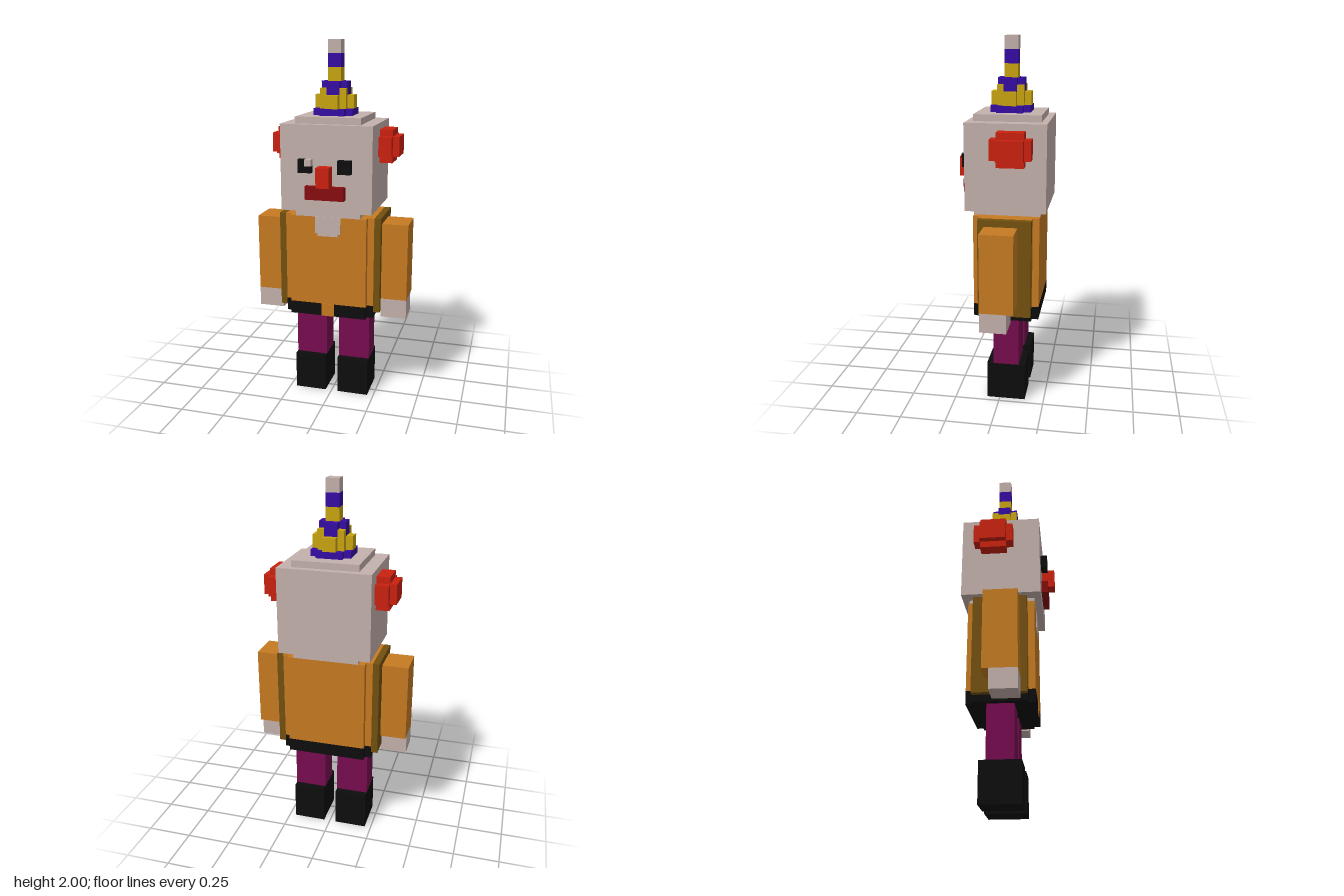
import * as THREE from 'three';

export function createModel() {
  const U = 1 / 28; // one grid cell
  const mat = (name, color) => {
    const m = new THREE.MeshStandardMaterial({ color });
    m.name = name;
    return m;
  };
  const skin = mat('skin', 0xc3b0ab), orange = mat('orange', 0xc57a22), brown = mat('brown', 0x73500f);
  const red = mat('red', 0xca210f), darkRed = mat('darkRed', 0x860c0e), purple = mat('purple', 0x350ca3);
  const yellow = mat('yellow', 0xc8a410), magenta = mat('magenta', 0x750c4e), black = mat('black', 0x0d0d0d);

  const model = new THREE.Group();
  model.name = 'figure';
  const group = (name) => {
    const g = new THREE.Group();
    g.name = name;
    model.add(g);
    return g;
  };
  // Box between two corners given in grid cells
  const box = (parent, name, m, x0, x1, y0, y1, z0, z1) => {
    const geo = new THREE.BoxGeometry((x1 - x0) * U, (y1 - y0) * U, (z1 - z0) * U);
    const mesh = new THREE.Mesh(geo, m);
    mesh.position.set((x0 + x1) / 2 * U, (y0 + y1) / 2 * U, (z0 + z1) / 2 * U);
    mesh.name = name;
    parent.add(mesh);
  };
  // Box on the left side and its mirror image on the right
  const pair = (parent, name, m, x0, x1, ...r) => {
    box(parent, name + 'Left', m, x0, x1, ...r);
    box(parent, name + 'Right', m, -x1, -x0, ...r);
  };

  // Legs and shoes
  const legs = group('legs');
  pair(legs, 'shoe', black, 1, 6, 0, 6, -4, 2);
  pair(legs, 'trouserLeg', magenta, 1, 6, 6, 14, -3, 1);

  // Torso: stepped jacket, belt, brown side panels
  const torso = group('torso');
  box(torso, 'belt', black, -6, 6, 14, 16, -6, 4);
  pair(torso, 'beltSide', black, 6, 7, 14, 16, -5, 3);
  box(torso, 'jacket', orange, -6, 6, 16, 30, -6, 4);
  pair(torso, 'jacketSide', orange, 6, 7, 16, 30, -5, 3);
  pair(torso, 'sidePanel', brown, 7, 8, 15, 30, -5, 3);
  box(torso, 'jacketFlap', orange, -1, 1, 14, 16, 4, 4.1);
  box(torso, 'collarOpening', skin, -2, 2, 27.4, 30, 4, 4.1);
  box(torso, 'collarOpeningTip', skin, -1.6, 1.6, 27, 27.4, 4, 4.1);

  // Arms
  const arms = group('arms');
  pair(arms, 'sleeve', orange, 8, 12, 17, 29, -3, 2);
  pair(arms, 'hand', skin, 8, 12, 14, 17, -2, 2);

  // Head and face
  const head = group('head');
  box(head, 'neck', skin, -5, 5, 30, 31, -6, 4);
  box(head, 'skull', skin, -7, 7, 31, 44, -7, 5);
  box(head, 'crown', skin, -5, 5, 44, 45, -6, 4);
  box(head, 'mouth', darkRed, -3, 3, 33, 35, 5, 6);
  box(head, 'nose', red, -1, 1, 35, 38, 5, 7);
  box(head, 'eyeLeft', black, 2, 4, 37, 39, 5, 6);
  box(head, 'eyeRightOuter', black, -4, -3, 37, 39, 5, 6);
  box(head, 'eyeRightLower', black, -3, -2, 37, 38, 5, 6);
  box(head, 'eyeRightLid', skin, -3, -2, 38, 39, 5, 6);

  // Rounded hair tufts
  const hair = group('hair');
  pair(hair, 'tuftCore', red, 7, 9, 38, 43, -4, 0);
  pair(hair, 'tuftBack', red, 7, 9, 39, 42, -5, -4);
  pair(hair, 'tuftFront', red, 7, 9, 39, 42, 0, 1);
  pair(hair, 'tuftTip', red, 9, 10, 39, 42, -4, 0);

  // Striped party hat, centred on z = -1
  const hat = group('hat');
  box(hat, 'brim', purple, -3, 3, 45, 46, -3, 1);
  box(hat, 'brimBack', purple, -2, 2, 45, 46, -4, -3);
  box(hat, 'brimFront', purple, -2, 2, 45, 46, 1, 2);
  box(hat, 'lowerBand', yellow, -1, 1, 46, 48, -4, 2);
  pair(hat, 'lowerBandSide', yellow, 1, 3, 46, 48, -2, 0);
  for (const z of [-3, 0]) pair(hat, 'bandCorner', yellow, 1, 2, 46, 49, z, z + 1);
  box(hat, 'middleBand', purple, -1, 1, 48, 50, -3, 1);
  pair(hat, 'middleBandSide', purple, 1, 2, 48, 50, -2, 0);
  [yellow, purple, skin].forEach((m, i) =>
    box(hat, 'spireStripe' + (i + 1), m, -1, 1, 50 + 2 * i, 52 + 2 * i, -2, 0));

  return model;
}
